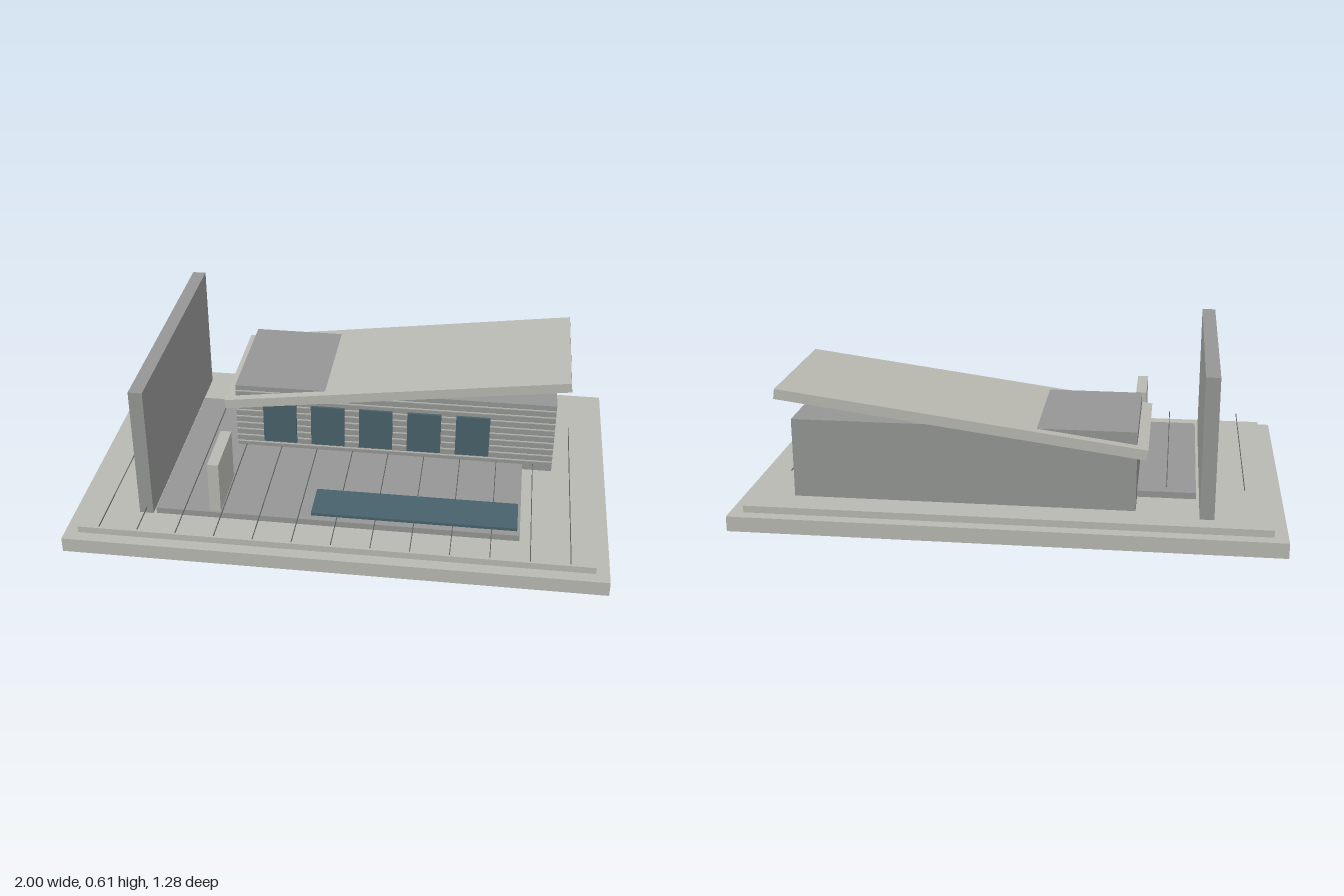
import * as THREE from 'three';

export function createModel() {
  const model = new THREE.Group();
  model.name = 'pavilionHouse';

  const material = (name, color) => {
    const m = new THREE.MeshStandardMaterial({ color });
    m.name = name;
    return m;
  };
  const concrete = material('pale concrete', 0xb9b9b2);
  const stone = material('grey stone', 0x949694);
  const glass = material('blue glass', 0x48616b);
  const joint = material('dark joint', 0x5c5e5c);

  // Box given by its lower and upper limits on each axis
  const box = (name, mat, [x0, x1], [y0, y1], [z0, z1], parent = model) => {
    const mesh = new THREE.Mesh(new THREE.BoxGeometry(x1 - x0, y1 - y0, z1 - z0), mat);
    mesh.position.set((x0 + x1) / 2, (y0 + y1) / 2, (z0 + z1) / 2);
    mesh.name = name;
    parent.add(mesh);
    return mesh;
  };
  const group = (name) => {
    const g = new THREE.Group();
    g.name = name;
    model.add(g);
    return g;
  };

  // Stepped plinth and terrace
  box('lowerPlinth', concrete, [-1, 1], [0, 0.057], [-0.64, 0.64]);
  box('upperPlinth', concrete, [-0.95, 0.95], [0.057, 0.083], [-0.594, 0.594]);
  box('terrace', stone, [-0.68, 0.675], [0.083, 0.107], [-0.335, 0.472]);

  // Thin paving joints running front to back
  const joints = group('pavingJoints');
  for (let i = -6; i <= 6; i++) {
    const x = i * 0.143;
    box('pavingJoint', joint, [x - 0.0015, x + 0.0015], [0.108, 0.111], [-0.288, 0.617], joints);
  }

  // Reflecting pool
  box('pool', glass, [-0.098, 0.665], [0.107, 0.118], [0.288, 0.445]);

  // Free-standing walls
  box('tallWall', stone, [-0.744, -0.692], [0.083, 0.606], [-0.525, 0.475]);
  box('lowWall', concrete, [-0.477, -0.435], [0.107, 0.312], [0.229, 0.463]);

  // House volume with raised courses on its front
  box('houseBody', stone, [-0.465, 0.79], [0.083, 0.381], [-0.475, 0]);
  const courses = group('wallCourses');
  for (let i = 0; i < 9; i++) {
    const y = 0.126 + i * 0.029;
    box('wallCourse', concrete, [-0.465, 0.79], [y - 0.002, y + 0.002], [0, 0.004], courses);
  }

  // Row of windows
  const windows = group('windows');
  for (let i = 0; i < 5; i++) {
    const x = -0.288 + i * 0.1905;
    box('window', glass, [x - 0.066, x + 0.066], [0.14, 0.313], [0.005, 0.0145], windows);
  }

  // Tilted roof slab
  const roof = box('roof', concrete, [-0.508, 0.842], [0.379, 0.417], [-0.513, 0.033]);
  roof.rotation.z = 0.131;

  return model;
}
